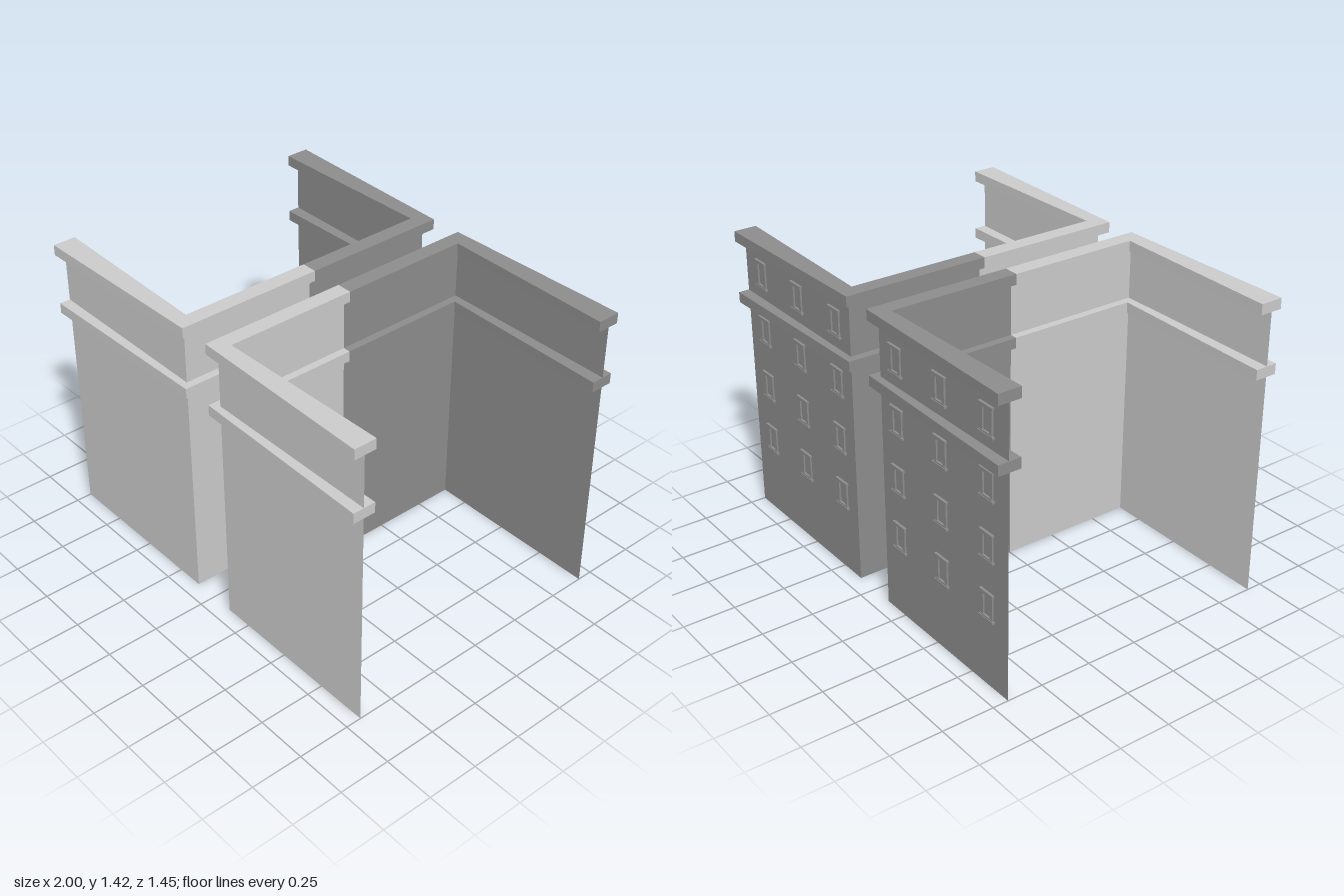
import * as THREE from 'three';

const WALL_X = 0.115, WALL_Z = 0.675, HEIGHT = 1.42;

const paint = (color) => new THREE.MeshStandardMaterial({ color, side: THREE.DoubleSide, flatShading: true });

function add(parent, name, geometry, material, x = 0, y = 0, z = 0) {
  const mesh = new THREE.Mesh(geometry, material);
  mesh.name = name;
  mesh.position.set(x, y, z);
  parent.add(mesh);
  return mesh;
}

// L-shaped ledge around one corner, flaring a little towards its open end
function ledgeGeometry(sx, sz) {
  const outline = [[0.077, 0], [0.077, 0.708], [1, 0.727], [1, 0.617], [0.152, 0.634], [0.152, 0]];
  const shape = new THREE.Shape(outline.map(([x, z]) => new THREE.Vector2(sx * x, -sz * z)));
  return new THREE.ExtrudeGeometry(shape, { depth: 0.05, bevelEnabled: false }).rotateX(-Math.PI / 2);
}

// Window surround: two jambs, lintel and sill, origin at bottom centre on the wall
function windowFrame(material) {
  const frame = new THREE.Group();
  frame.name = 'windowFrame';
  const bar = (name, w, h, d, x, y) =>
    add(frame, name, new THREE.BoxGeometry(w, h, d), material, x, y + h / 2, -d / 2);
  for (const s of [-1, 1]) bar('jamb', 0.016, 0.115, 0.008, s * 0.031, 0.01);
  bar('lintel', 0.09, 0.01, 0.012, 0, 0.125);
  bar('lintelMoulding', 0.08, 0.007, 0.01, 0, 0.118);
  bar('sill', 0.095, 0.01, 0.013, 0, 0);
  bar('sillMoulding', 0.08, 0.007, 0.01, 0, 0.01);
  return frame;
}

export function createModel() {
  const model = new THREE.Group();
  model.name = 'facingBuildings';
  const light = paint(0xcccccc), dark = paint(0x8d8d8d);

  for (const sx of [-1, 1]) {
    for (const sz of [-1, 1]) {
      const material = sz > 0 ? light : dark;
      const half = new THREE.Group();
      half.name = (sx > 0 ? 'left' : 'right') + (sz > 0 ? 'Front' : 'Back') + 'Half';
      model.add(half);

      // Thin walls: one across the end, one along the alley
      const width = 1 - WALL_X;
      const endWall = add(half, 'endWall', new THREE.PlaneGeometry(width, HEIGHT), material,
        sx * (WALL_X + width / 2), HEIGHT / 2, sz * WALL_Z);
      if (sz < 0) endWall.rotation.y = Math.PI;
      const alleyWall = add(half, 'alleyWall', new THREE.PlaneGeometry(WALL_Z, HEIGHT), material,
        sx * WALL_X, HEIGHT / 2, sz * WALL_Z / 2);
      alleyWall.rotation.y = -sx * Math.PI / 2;

      // Cornice at the roof line and a string course below the top floor
      add(half, 'cornice', ledgeGeometry(sx, sz), material, 0, 1.37, 0);
      add(half, 'stringCourse', ledgeGeometry(sx, sz), material, 0, 1.07, 0);

      // Windows only on the back end walls: three columns, four floors
      if (sz < 0) {
        for (const x of [0.233, 0.547, 0.862]) {
          for (let floor = 0; floor < 4; floor++) {
            const frame = windowFrame(material);
            frame.position.set(sx * x, 0.327 + floor * 0.282, -WALL_Z);
            half.add(frame);
          }
        }
      }
    }
  }
  return model;
}
